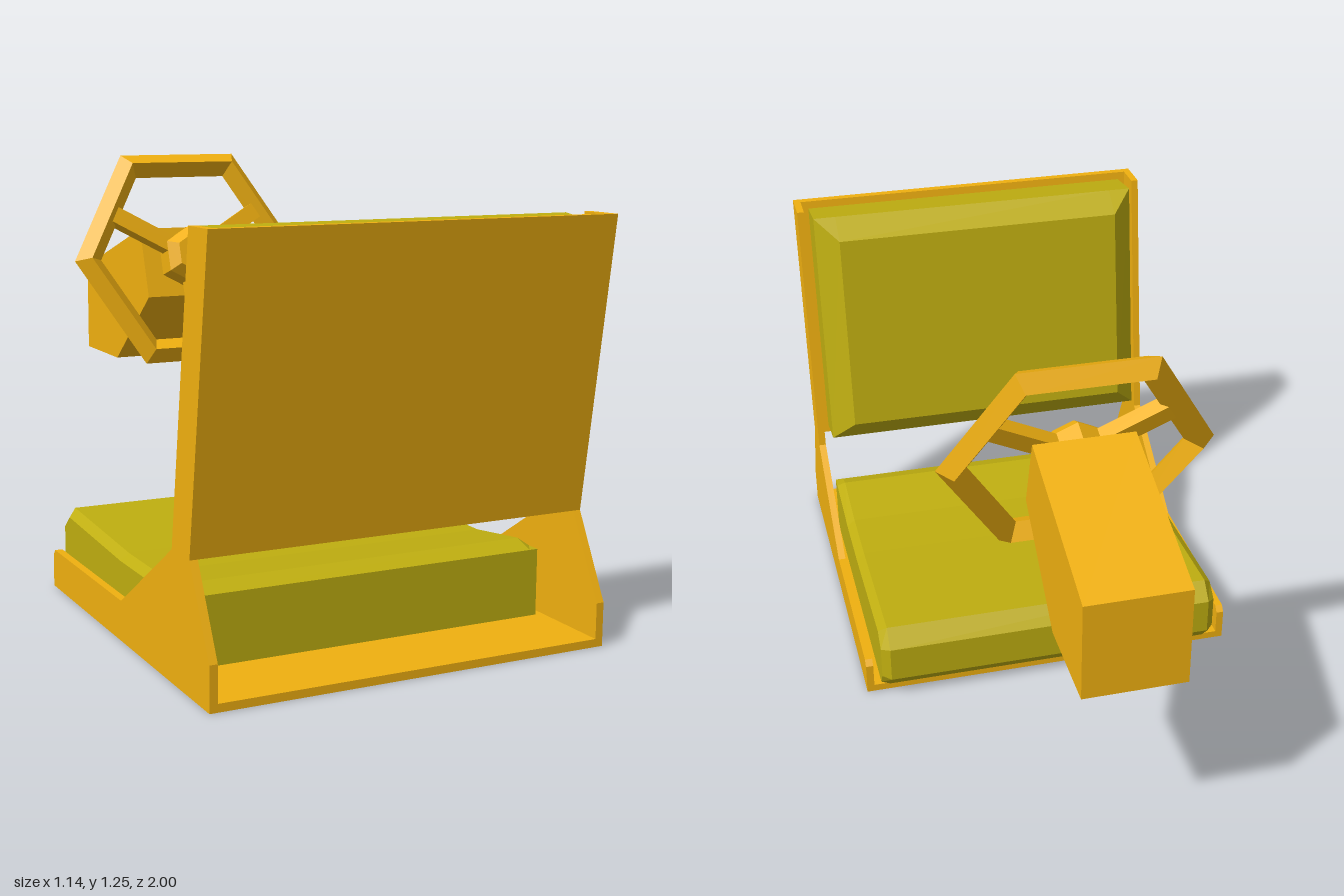
import * as THREE from 'three';

const frameMat = new THREE.MeshStandardMaterial({ color: 0xf0b010, flatShading: true });
const padMat = new THREE.MeshStandardMaterial({ color: 0xbfae10, flatShading: true });

function add(parent, name, geometry, material) {
  const mesh = new THREE.Mesh(geometry, material);
  mesh.name = name;
  parent.add(mesh);
  return mesh;
}

// Extrudes a [z, y] outline across x, centred on x = cx
function prism(points, width, cx = 0) {
  const shape = new THREE.Shape(points.map(([z, y]) => new THREE.Vector2(z, y)));
  const g = new THREE.ExtrudeGeometry(shape, { depth: width, bevelEnabled: false });
  return g.translate(0, 0, -width / 2).rotateY(-Math.PI / 2).translate(cx, 0, 0);
}

// Joins matching [z, y] outlines placed at increasing x, with capped ends
function loft(sections) {
  const pos = [];
  const put = (s, j) => pos.push(s.x, s.points[j][1], s.points[j][0]);
  const n = sections[0].points.length;
  for (let i = 0; i < sections.length - 1; i++) {
    const a = sections[i], b = sections[i + 1];
    for (let j = 0; j < n; j++) {
      const k = (j + 1) % n;
      put(a, j); put(b, j); put(b, k);
      put(a, j); put(b, k); put(a, k);
    }
  }
  const first = sections[0], last = sections[sections.length - 1];
  const contour = first.points.map(([z, y]) => new THREE.Vector2(z, y));
  for (const [a, b, c] of THREE.ShapeUtils.triangulateShape(contour, [])) {
    put(first, a); put(first, b); put(first, c);
    put(last, c); put(last, b); put(last, a);
  }
  const g = new THREE.BufferGeometry();
  g.setAttribute('position', new THREE.Float32BufferAttribute(pos, 3));
  g.computeVertexNormals();
  return g;
}

// Cushion with a small outline at its sides and a full one between
function cushion(side, middle, xSide, xMiddle) {
  return loft([
    { x: -xSide, points: side }, { x: -xMiddle, points: middle },
    { x: xMiddle, points: middle }, { x: xSide, points: side },
  ]);
}

export function createModel() {
  const model = new THREE.Group();
  model.name = 'driverSeat';

  // Seat shell: two side panels, floor and back panel
  const shell = new THREE.Group();
  shell.name = 'seatShell';
  model.add(shell);
  const sideOutline = [
    [1, 0], [1, 0.12], [0.885, 0.345], [1, 1.145], [0.89, 1.145], [0.775, 0.345],
    [0.42, 0.112], [-0.125, 0.112], [-0.14, 0.095], [-0.14, 0],
  ];
  for (const s of [1, -1]) {
    add(shell, s > 0 ? 'leftSidePanel' : 'rightSidePanel', prism(sideOutline, 0.022, s * 0.559), frameMat);
  }
  add(shell, 'floorPanel', prism([[1, 0], [1, 0.022], [-0.14, 0.022], [-0.14, 0]], 1.096), frameMat);
  add(shell, 'backPanel', prism([[0.885, 0.345], [1, 1.145], [0.976, 1.145], [0.861, 0.345]], 1.096), frameMat);

  // Seat cushion with a shallow dip and bevelled edges
  add(model, 'seatCushion', cushion(
    [[0.76, 0.022], [0.76, 0.21], [0.72, 0.21], [0.5, 0.185], [0.3, 0.185], [-0.12, 0.208], [-0.163, 0.17], [-0.163, 0.07], [-0.13, 0.022]],
    [[0.76, 0.022], [0.76, 0.21], [0.7, 0.23], [0.5, 0.205], [0.3, 0.205], [-0.14, 0.23], [-0.188, 0.18], [-0.188, 0.07], [-0.145, 0.022]],
    0.525, 0.5), padMat);

  // Backrest cushion, tapering to a smaller front face
  const rearLow = [0.863, 0.37], rearTop = [0.972, 1.122], midTop = [0.84, 1.14], midLow = [0.737, 0.39];
  add(model, 'backrestCushion', cushion(
    [rearLow, rearTop, midTop, midTop, midLow, midLow],
    [rearLow, rearTop, midTop, [0.765, 1.085], [0.677, 0.465], midLow],
    0.525, 0.455), padMat);

  // Steering column housing
  add(model, 'steeringColumn', prism(
    [[-1, 0.575], [-0.72, 0.575], [-0.43, 0.81], [-0.5, 1.022], [-1, 0.86]], 0.283), frameMat);

  // Steering wheel: six-sided rim, three spokes and a tapered hub
  const wheel = new THREE.Group();
  wheel.name = 'steeringWheel';
  wheel.position.set(0, 0.935, -0.428);
  wheel.rotation.x = -Math.PI / 10;
  model.add(wheel);
  add(wheel, 'wheelRim', new THREE.TorusGeometry(0.344, 0.043, 4, 6), frameMat);
  for (let i = 0; i < 3; i++) {
    const spoke = new THREE.BoxGeometry(0.24, 0.052, 0.045).translate(0.17, 0, 0);
    add(wheel, 'spoke', spoke, frameMat).rotation.z = Math.PI / 6 + (i * Math.PI * 2) / 3;
  }
  const hub = new THREE.CylinderGeometry(0.065, 0.095, 0.035, 6).rotateX(Math.PI / 2).translate(0, 0, 0.042);
  add(wheel, 'hubCap', hub, frameMat);
  const hubBase = new THREE.CylinderGeometry(0.095, 0.095, 0.075, 6).rotateX(Math.PI / 2).translate(0, 0, -0.013);
  add(wheel, 'hubBase', hubBase, frameMat);

  return model;
}
